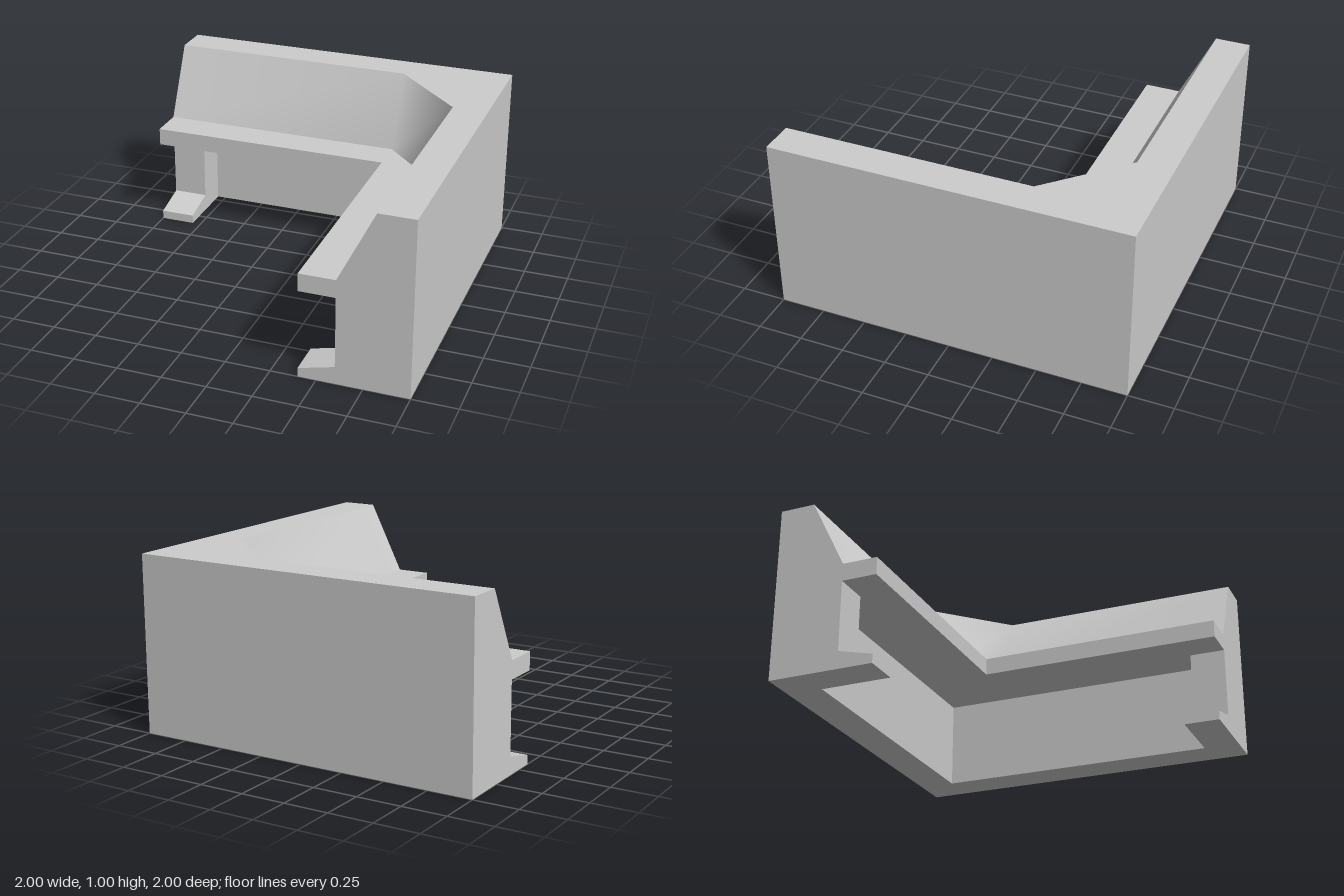
import * as THREE from 'three';
import { mergeGeometries } from 'three/addons/utils/BufferGeometryUtils.js';

// L-shaped plan outline, arms `t` wide along the back and the +x side
function lShape(t) {
  const i = 1 - t;
  return new THREE.Shape([[-1, 1], [-1, i], [i, i], [i, -1], [1, -1], [1, 1]].map(([x, y]) => new THREE.Vector2(x, y)));
}

// Horizontal slab from y0 to y1
function slab(shape, y0, y1) {
  const g = new THREE.ExtrudeGeometry(shape, { depth: y1 - y0, bevelEnabled: false });
  return g.rotateX(-Math.PI / 2).translate(0, y0, 0);
}

// Wall strip between two outlines of [x, z]; vertices are shared, so the strip shades smoothly
function strip(low, high, y0, y1) {
  const pos = [], index = [];
  low.forEach(([x, z], i) => {
    pos.push(x, y0, z, high[i][0], y1, high[i][1]);
    if (i) {
      const a = 2 * i - 2;
      index.push(a, a + 1, a + 2, a + 2, a + 1, a + 3);
    }
  });
  const g = new THREE.BufferGeometry();
  g.setAttribute('position', new THREE.Float32BufferAttribute(pos, 3));
  g.setIndex(index);
  g.computeVertexNormals();
  return g;
}

// Sloping backrest with a chamfered inner corner
function backrestGeometry() {
  const y0 = 0.6, y1 = 1;
  const low = [[-1, -1], [1, -1], [1, 1], [0.6, 1], [0.6, -0.4], [0.4, -0.6], [-1, -0.6], [-1, -1]];
  const high = [[-1, -1], [1, -1], [1, 1], [0.8, 1], [0.8, -0.4], [0.4, -0.8], [-1, -0.8], [-1, -1]];
  // back, side, end, smooth sloped face, end
  const runs = [[0, 2], [1, 3], [2, 4], [3, 7], [6, 8]];
  const parts = runs.map(([a, b]) => strip(low.slice(a, b), high.slice(a, b), y0, y1));
  const top = new THREE.ShapeGeometry(new THREE.Shape(high.slice(0, 7).map(([x, z]) => new THREE.Vector2(x, -z))));
  top.rotateX(-Math.PI / 2).translate(0, y1, 0);
  top.deleteAttribute('uv');
  return mergeGeometries([...parts, top]);
}

export function createModel() {
  const model = new THREE.Group();
  model.name = 'cornerBench';
  const grey = new THREE.MeshStandardMaterial({ color: 0xcccccc });
  grey.name = 'grey';

  const add = (name, geometry) => {
    const mesh = new THREE.Mesh(geometry, grey);
    mesh.name = name;
    model.add(mesh);
    return mesh;
  };

  add('baseWall', slab(lShape(0.2), 0, 0.5));
  add('seat', slab(lShape(0.6), 0.5, 0.6));
  add('backrest', backrestGeometry());

  // End supports with a sloped toe
  const profile = new THREE.Shape(
    [[0, 0], [0.4, 0], [0.4, 0.05], [0.2, 0.1], [0.2, 0.5], [0, 0.5]].map(([u, y]) => new THREE.Vector2(u, y)));
  const foot = new THREE.ExtrudeGeometry(profile, { depth: 0.2, bevelEnabled: false });
  const rightFoot = add('rightFoot', foot);
  rightFoot.rotation.y = -Math.PI / 2;
  rightFoot.position.set(-0.8, 0, -0.8);
  const leftFoot = add('leftFoot', foot);
  leftFoot.rotation.y = Math.PI;
  leftFoot.position.set(0.8, 0, 1);

  return model;
}
